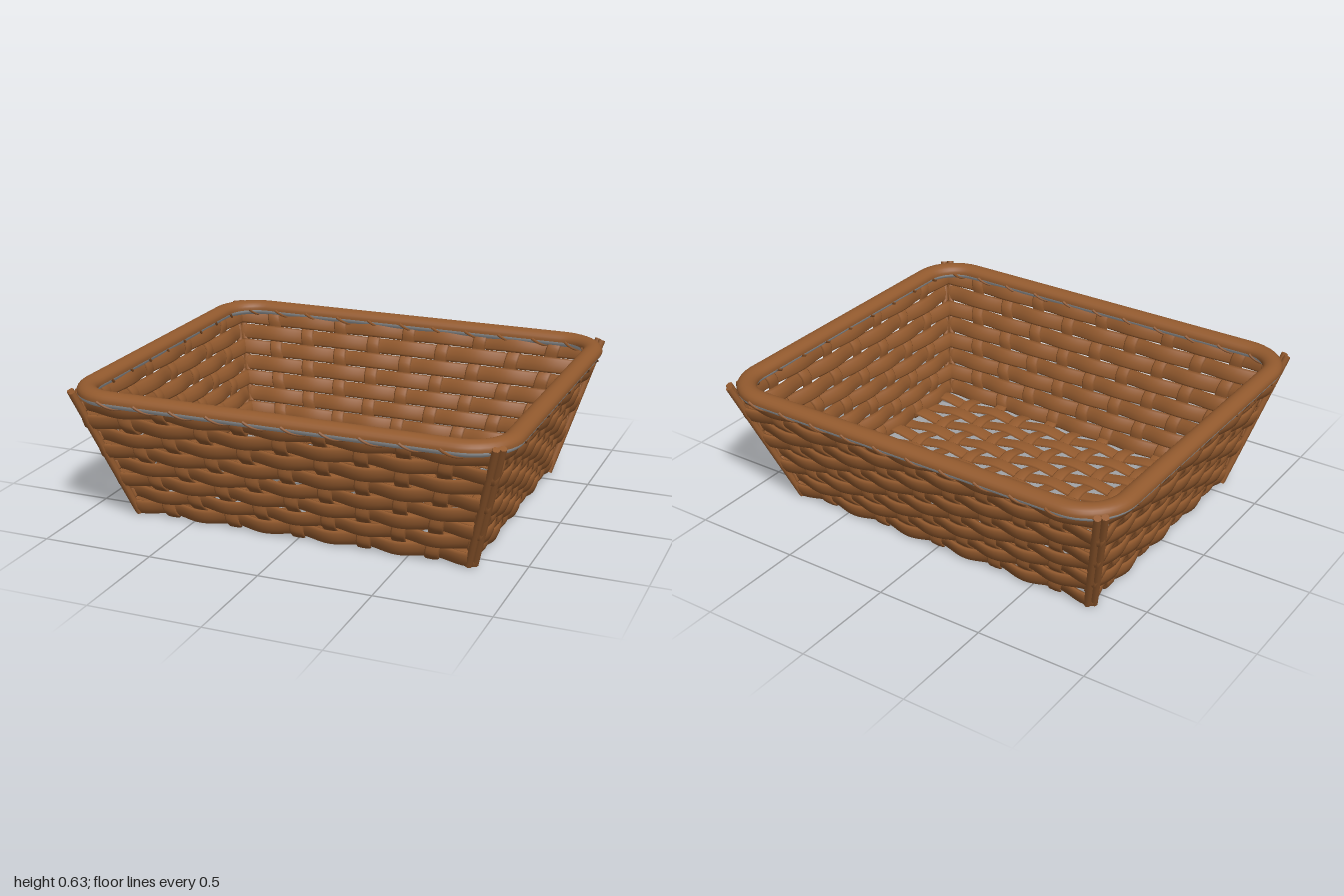
import * as THREE from 'three';

const V = (x, y, z) => new THREE.Vector3(x, y, z);
const SLOPE_X = 0.3, SLOPE_Z = 0.38;         // outward lean of the walls
const halfX = y => 0.765 + SLOPE_X * y;
const halfZ = y => 0.575 + SLOPE_Z * y;
const ROWS = 8, ROW0 = 0.047, PITCH = 0.0728; // horizontal weavers

function build(pos, index) {
  const g = new THREE.BufferGeometry();
  g.setAttribute('position', new THREE.Float32BufferAttribute(pos, 3));
  g.setIndex(index);
  g.computeVertexNormals();
  return g;
}

// Grid of rings -> indexed faces; columns may wrap around
function gridIndex(rings, cols, wrapCols, wrapRings) {
  const idx = [];
  for (let i = 0; i < (wrapRings ? rings : rings - 1); i++) {
    for (let j = 0; j < (wrapCols ? cols : cols - 1); j++) {
      const i2 = (i + 1) % rings, j2 = (j + 1) % cols;
      const a = i * cols + j, b = i * cols + j2, c = i2 * cols + j, d = i2 * cols + j2;
      idx.push(a, b, c, b, d, c);
    }
  }
  return idx;
}

// Flat rounded cane swept along points; side is its width direction
function strap(points, side, halfW, halfT) {
  const cols = 8, pos = [], n = points.length;
  const round = v => Math.sign(v) * Math.pow(Math.abs(v), 0.75);
  for (let i = -1; i <= n; i++) {
    const k = Math.min(Math.max(i, 0), n - 1);
    const scale = i === k ? 1 : 0;           // collapsed rings close the ends
    const T = points[Math.min(k + 1, n - 1)].clone().sub(points[Math.max(k - 1, 0)]).normalize();
    const N = T.clone().cross(side).normalize();
    for (let j = 0; j < cols; j++) {
      const a = (j / cols) * Math.PI * 2;
      const p = points[k].clone()
        .addScaledVector(side, scale * halfW * round(Math.cos(a)))
        .addScaledVector(N, scale * halfT * round(Math.sin(a)));
      pos.push(p.x, p.y, p.z);
    }
  }
  return build(pos, gridIndex(n + 2, cols, true, false));
}

const line = (n, f) => Array.from({ length: n + 1 }, (_, i) => f(i / n));

export function createModel() {
  const model = new THREE.Group();
  const cane = new THREE.MeshStandardMaterial({ color: 0x935a2e });
  cane.name = 'brownCane';
  const lining = new THREE.MeshStandardMaterial({ color: 0xb4b6b8, side: THREE.DoubleSide });
  lining.name = 'greyLining';

  const add = (parent, name, geo, mat = cane) => {
    const m = new THREE.Mesh(geo, mat);
    m.name = name;
    parent.add(m);
    return m;
  };

  // One woven wall facing +z, later turned into place
  function wall(name, turn, half, dist, slope, stakes, basePitch, topPitch, flip) {
    const g = new THREE.Group();
    g.name = name;
    g.rotation.y = turn;
    const up = V(0, 1, slope).normalize(), out = V(0, -slope, 1).normalize();
    const amp = 0.013;
    const pitchAt = y => basePitch + (topPitch - basePitch) * y / 0.6;
    const at = (u, y, d) => V(u, y, dist(y)).addScaledVector(out, d);
    for (let k = 0; k < ROWS; k++) {
      const y = ROW0 + k * PITCH, L = half(y) + 0.005;
      add(g, 'weaver', strap(line(72, t => {
        const u = (t * 2 - 1) * L;
        return at(u, y, -flip * amp * Math.cos(Math.PI * (u / pitchAt(y) + k)));
      }), up, 0.038, 0.014));
    }
    for (let j = -stakes; j <= stakes; j++) {
      add(g, 'stake', strap(line(48, t => {
        const y = 0.015 + t * 0.585, k = (y - ROW0) / PITCH;
        return at(j * pitchAt(y), y, flip * amp * Math.cos(Math.PI * (k + j)));
      }), V(1, 0, 0), 0.033, 0.007));
    }
    model.add(g);
  }
  for (const [i, n] of ['front', 'back'].entries())
    wall(n + 'Wall', i * Math.PI, halfX, halfZ, SLOPE_Z, 4, 0.15, 0.186, 1);
  for (const [i, n] of ['left', 'right'].entries())
    wall(n + 'Wall', Math.PI / 2 + i * Math.PI, halfZ, halfX, SLOPE_X, 3, 0.145, 0.196, -1);

  // Woven floor
  const floor = new THREE.Group();
  floor.name = 'floor';
  model.add(floor);
  const FP = 0.1, FX = 0.15, FY = 0.026, FA = 0.01;
  for (let r = -5; r <= 5; r++) {
    add(floor, 'floorWeaver', strap(line(72, t => {
      const x = (t * 2 - 1) * 0.77;
      return V(x, FY + FA * Math.cos(Math.PI * (x / FX + r)), r * FP);
    }), V(0, 0, 1), 0.04, 0.008));
  }
  for (let c = -4; c <= 4; c++) {
    add(floor, 'floorStake', strap(line(66, t => {
      const z = (t * 2 - 1) * 0.575;
      return V(c * FX, FY - FA * Math.cos(Math.PI * (z / FP + c)), z);
    }), V(1, 0, 0), 0.032, 0.007));
  }

  // Paired corner posts
  for (const sx of [-1, 1]) for (const sz of [-1, 1]) {
    const ends = [
      [V(0.77, 0.012, 0.595), V(0.94, 0.622, 0.828)],
      [V(0.79, 0.012, 0.575), V(0.962, 0.622, 0.805)],
    ];
    for (const [a, b] of ends) {
      const s = V(sx, 1, sz);
      const p = a.clone().multiply(s), q = b.clone().multiply(s);
      const post = add(model, 'cornerPost', new THREE.CylinderGeometry(0.016, 0.016, p.distanceTo(q), 8));
      post.position.copy(p).add(q).multiplyScalar(0.5);
      post.quaternion.setFromUnitVectors(V(0, 1, 0), q.clone().sub(p).normalize());
    }
  }

  // Rim path: rounded rectangle
  const RX = 0.955, RZ = 0.81, R = 0.18, RY = 0.605, RW = 0.045, RH = 0.035;
  const shape = new THREE.Shape();
  shape.absarc(RX - R, RZ - R, R, 0, Math.PI / 2);
  shape.absarc(-RX + R, RZ - R, R, Math.PI / 2, Math.PI);
  shape.absarc(-RX + R, -RZ + R, R, Math.PI, Math.PI * 1.5);
  shape.absarc(RX - R, -RZ + R, R, Math.PI * 1.5, Math.PI * 2);
  shape.closePath();
  const COUNT = 240;
  const path = shape.getSpacedPoints(COUNT).slice(0, COUNT);
  const rimPoint = (i, a, grow = 0) => {
    const w = k => path[((k % COUNT) + COUNT) % COUNT];
    const p = w(i), t = w(i + 1).clone().sub(w(i - 1)).normalize();
    const r = Math.cos(a) * (RW + grow);
    return V(p.x + t.y * r, RY + Math.sin(a) * (RH + grow), p.y - t.x * r);
  };
  // Part of the rim's oval section, from angle a0 to a1
  function rimBand(a0, a1) {
    const cols = 13, pos = [];
    for (let i = 0; i < COUNT; i++) for (let j = 0; j < cols; j++) {
      const p = rimPoint(i, a0 + (a1 - a0) * j / (cols - 1));
      pos.push(p.x, p.y, p.z);
    }
    return build(pos, gridIndex(COUNT, cols, false, true).reverse());
  }
  // Keep faces outward whichever way the path runs
  function outward(geo) {
    const n = geo.attributes.normal, p = geo.attributes.position;
    let s = 0;
    for (let i = 0; i < n.count; i++) s += n.getY(i) * (p.getY(i) - RY);
    if (s < 0) {
      geo.setIndex(Array.from(geo.index.array).reverse());
      geo.computeVertexNormals();
    }
    return geo;
  }
  add(model, 'rim', outward(rimBand(-0.15, Math.PI + 0.15)));
  add(model, 'rimUnderside', outward(rimBand(Math.PI + 0.15, Math.PI * 2 - 0.15)), lining);

  // Slanted lashings under the rim
  for (let i = 0; i < COUNT; i += 6) {
    const pts = line(6, t => rimPoint(i + Math.round(t * 6), Math.PI + t * Math.PI, 0.001));
    add(model, 'rimLashing', new THREE.TubeGeometry(new THREE.CatmullRomCurve3(pts), 10, 0.007, 5));
  }
  return model;
}
